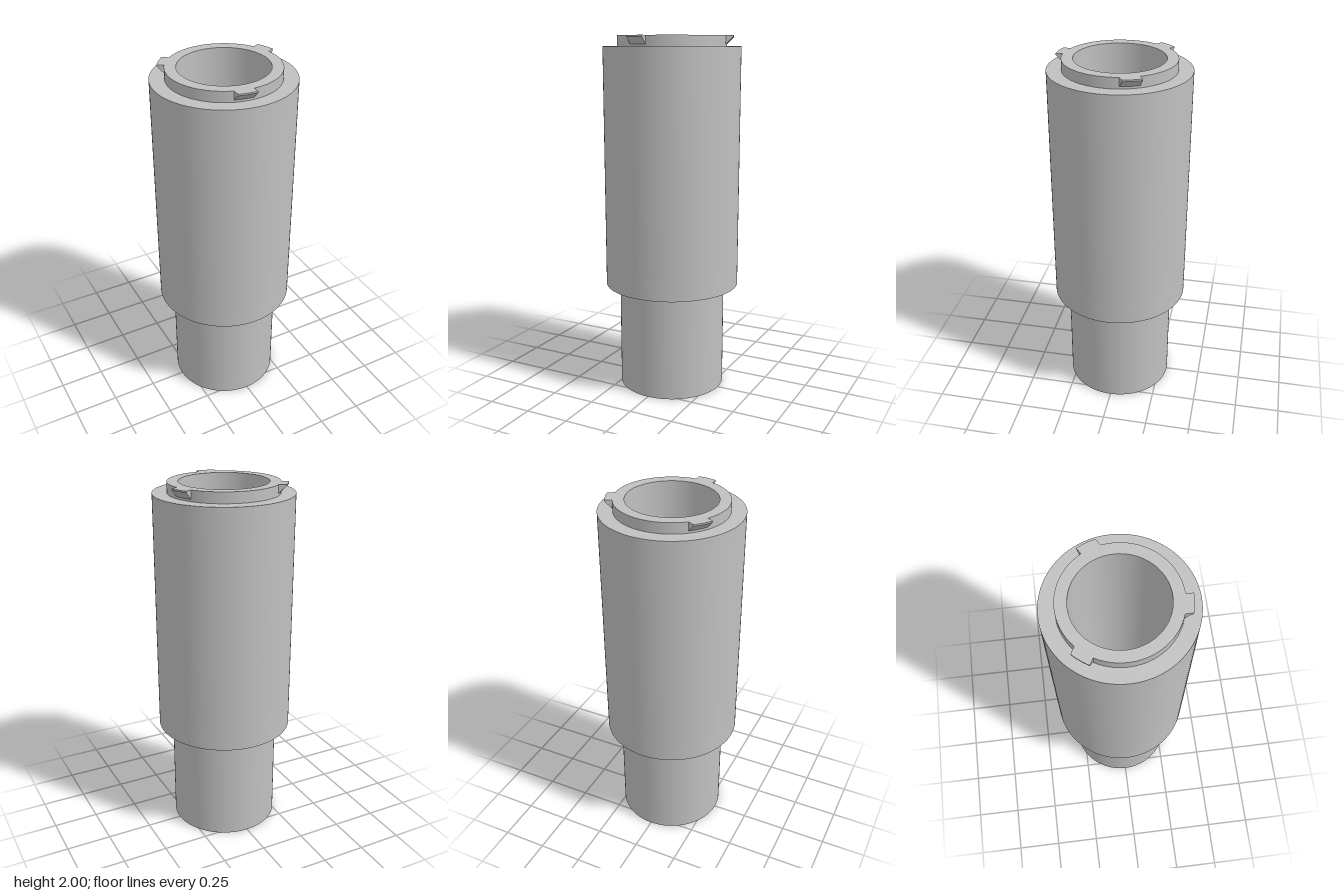
import * as THREE from 'three';
import { toCreasedNormals } from 'three/addons/utils/BufferGeometryUtils.js';

const TAB_COUNT = 3;

// Outline points of a circle; inside the slots the radius steps out
function ringPoints(radius, slotRadius = radius) {
  const points = [];
  const inSlot = (a) => { const m = a % 120; return m > 88 && m < 110; };
  for (let a = 0; a < 360; a += 3) {
    const t = THREE.MathUtils.degToRad(a);
    const r = inSlot(a) ? slotRadius : radius;
    points.push(new THREE.Vector2(r * Math.cos(t), r * Math.sin(t)));
  }
  return points;
}

// Upright hollow ring between two heights
function tube(name, outer, holePoints, y0, y1, material) {
  const shape = new THREE.Shape(ringPoints(outer));
  shape.holes.push(new THREE.Path(holePoints));
  const raw = new THREE.ExtrudeGeometry(shape, { depth: y1 - y0, bevelEnabled: false });
  raw.rotateX(-Math.PI / 2);
  raw.translate(0, y0, 0);
  const mesh = new THREE.Mesh(toCreasedNormals(raw, 0.5), material);
  mesh.name = name;
  return mesh;
}

// Locking tab: parallel sides, curved rim and a sloping underside
function tabGeometry() {
  const profile = [[0.28, 2], [0.338, 2], [0.338, 1.992], [0.298, 1.952], [0.28, 1.952]];
  const steps = 6, n = profile.length;
  const positions = [], index = [];
  for (let i = 0; i <= steps; i++) {
    const x = -0.1 + 0.1 * i / steps;
    for (const [r, y] of profile) positions.push(x, y, Math.sqrt(r * r - x * x));
  }
  for (let i = 0; i < steps; i++) {
    for (let j = 0; j < n; j++) {
      const a = i * n + j, b = i * n + (j + 1) % n;
      index.push(a, b, a + n, b, b + n, a + n);
    }
  }
  const last = steps * n;
  for (let j = 1; j < n - 1; j++) {
    index.push(0, j + 1, j);
    index.push(last, last + j, last + j + 1);
  }
  const geometry = new THREE.BufferGeometry();
  geometry.setAttribute('position', new THREE.Float32BufferAttribute(positions, 3));
  geometry.setIndex(index);
  return toCreasedNormals(geometry, 0.4);
}

export function createModel() {
  const model = new THREE.Group();
  model.name = 'twistLockTube';
  const grey = new THREE.MeshStandardMaterial({ color: 0xc0c0c0, side: THREE.DoubleSide });
  grey.name = 'grey';

  // Long inner tube and the sleeve around it
  model.add(tube('innerTube', 0.3, ringPoints(0.24), 0, 2, grey));
  model.add(tube('sleeve', 0.379, ringPoints(0.3), 0.72, 1.942, grey));

  // Lower end of the sleeve, cut with three entry slots
  model.add(tube('slottedSleeveEnd', 0.379, ringPoints(0.3, 0.345), 0.602, 0.72, grey));

  // Three tabs around the top rim
  const tab = tabGeometry();
  for (let i = 0; i < TAB_COUNT; i++) {
    const mesh = new THREE.Mesh(tab, grey);
    mesh.name = 'lockingTab' + (i + 1);
    mesh.rotation.y = i * 2 * Math.PI / TAB_COUNT;
    model.add(mesh);
  }
  return model;
}
